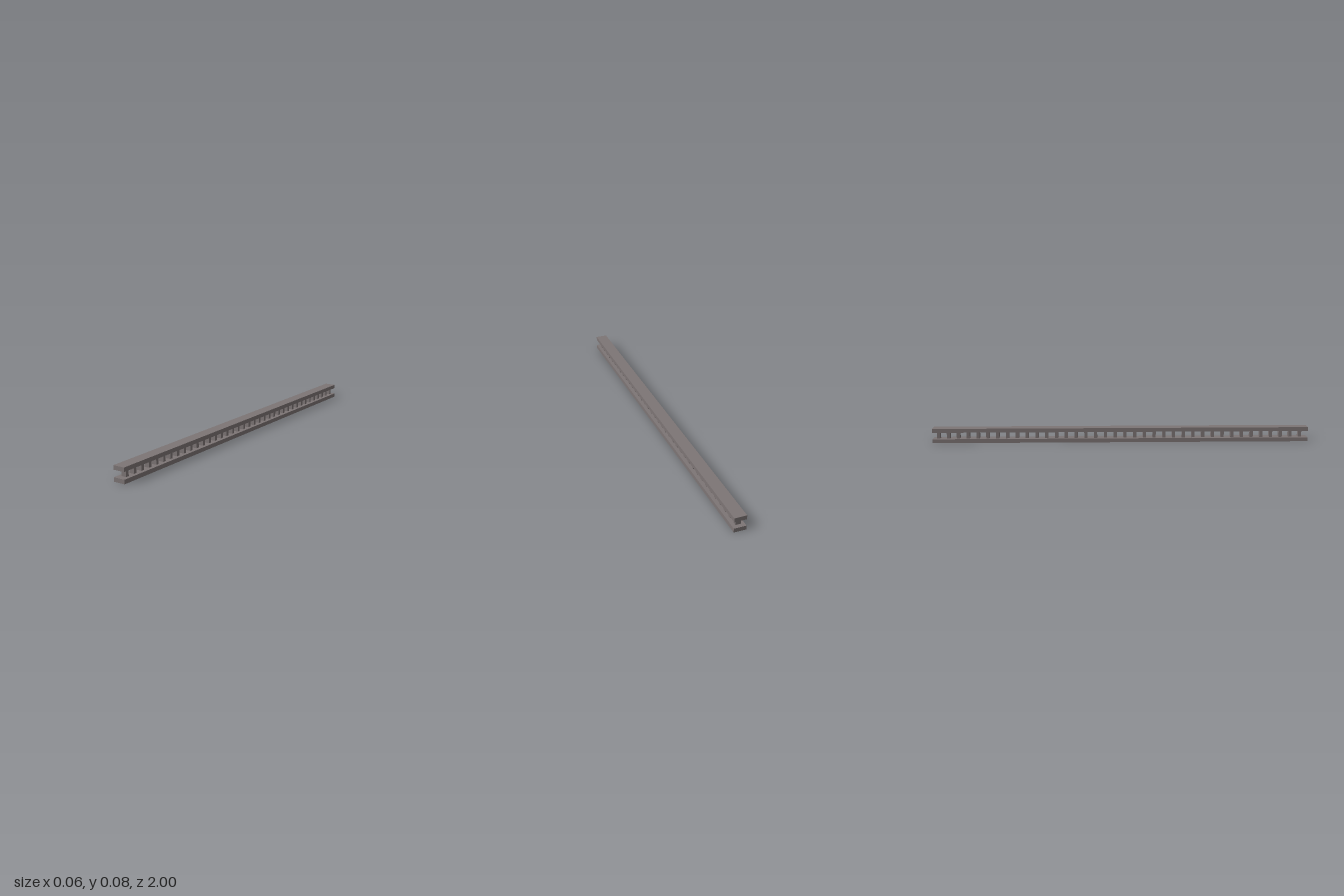
import * as THREE from 'three';

const LENGTH = 2, WIDTH = 0.062, HEIGHT = 0.077, RAIL = 0.021;
const POSTS = 38, FIRST_Z = 0.96, LAST_Z = -0.97;

export function createModel() {
  const group = new THREE.Group();
  group.name = 'railing';
  const material = new THREE.MeshStandardMaterial({ color: 0x7d7575 });

  function addBox(name, w, h, d, y, z = 0) {
    const mesh = new THREE.Mesh(new THREE.BoxGeometry(w, h, d), material);
    mesh.name = name;
    mesh.position.set(0, y, z);
    group.add(mesh);
  }

  // Two long flat rails
  addBox('bottomRail', WIDTH, RAIL, LENGTH, RAIL / 2);
  addBox('topRail', WIDTH, RAIL, LENGTH, HEIGHT - RAIL / 2);

  // Evenly spaced posts between the rails
  for (let i = 0; i < POSTS; i++) {
    const z = THREE.MathUtils.lerp(FIRST_Z, LAST_Z, i / (POSTS - 1));
    addBox('post' + (i + 1), 0.027, HEIGHT - 2 * RAIL, 0.017, HEIGHT / 2, z);
  }
  return group;
}
